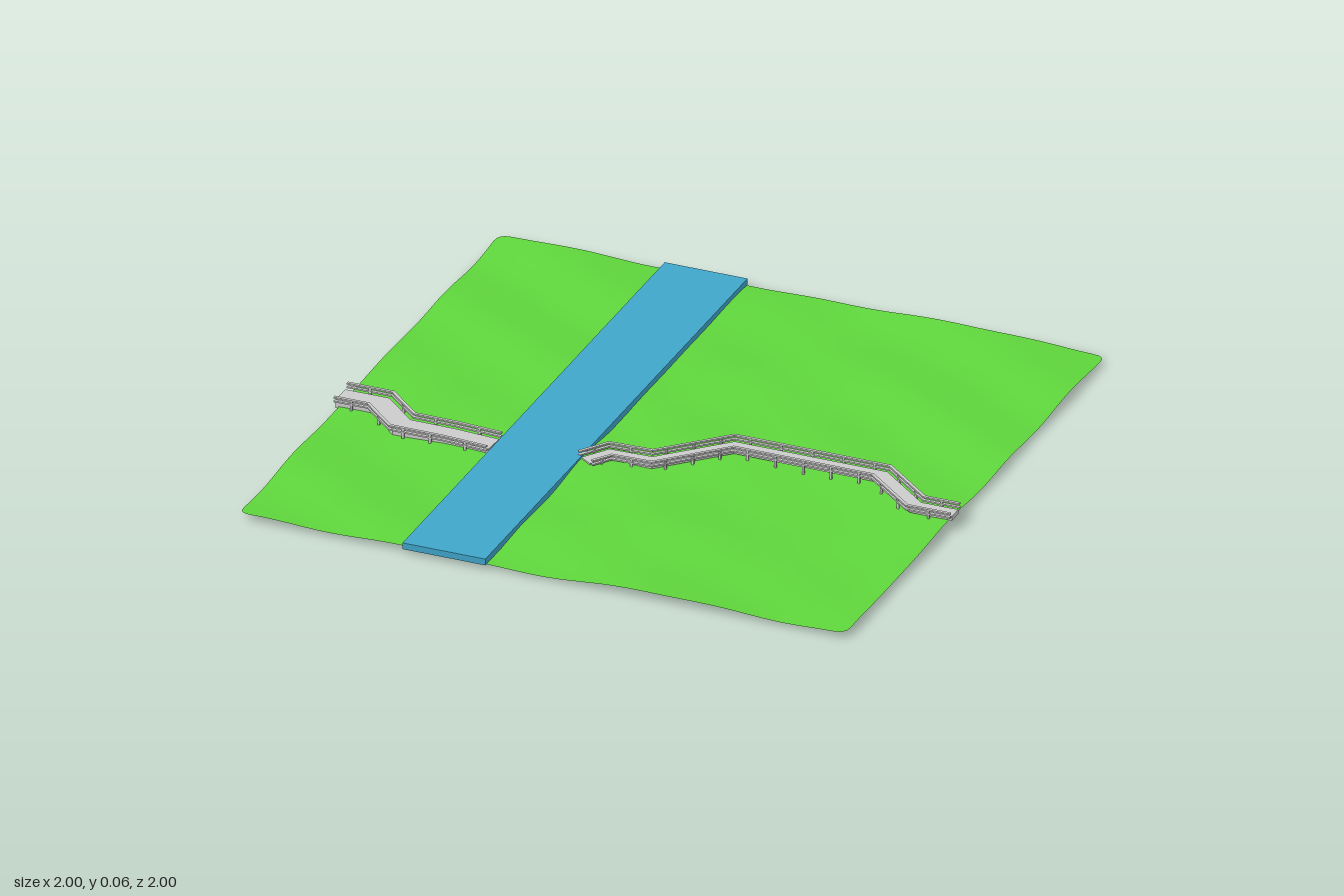
import * as THREE from 'three';

const grey = new THREE.MeshStandardMaterial({ color: 0xcccccc, flatShading: true, side: THREE.DoubleSide });
const green = new THREE.MeshStandardMaterial({ color: 0x5fd63c, side: THREE.DoubleSide });
const blue = new THREE.MeshStandardMaterial({ color: 0x3fa6c9 });

function add(parent, geometry, material, name) {
  const mesh = new THREE.Mesh(geometry, material);
  mesh.name = name;
  parent.add(mesh);
  return mesh;
}

// Gentle rolling height of the meadow
function groundHeight(x, z) {
  const h = Math.sin(5.3 * x + 2.1 * Math.sin(3.1 * z + 0.6)) * 0.35
    + Math.sin(11.7 * z + 1.9 * Math.sin(4.3 * x)) * 0.35
    + Math.sin(9.1 * x - 15.3 * z + 1.2) * 0.2
    + Math.sin(17 * x + 8 * z + 2.4) * 0.15;
  return 0.018 + 0.011 * h;
}

// Thin square sheet with slightly rounded corners
function meadowGeometry() {
  const half = 0.99, r = 0.035, n = 100;
  const g = new THREE.PlaneGeometry(2 * half, 2 * half, n, n).rotateX(-Math.PI / 2);
  const p = g.attributes.position;
  for (let i = 0; i < p.count; i++) {
    let x = p.getX(i), z = p.getZ(i);
    const dx = Math.abs(x) - (half - r), dz = Math.abs(z) - (half - r);
    if (dx > 0 && dz > 0) {
      const k = Math.max(dx, dz) / Math.hypot(dx, dz);
      x = Math.sign(x) * (half - r + dx * k);
      z = Math.sign(z) * (half - r + dz * k);
    }
    p.setXYZ(i, x, groundHeight(x, z), z - 0.005);
  }
  g.computeVertexNormals();
  return g;
}

// Sideways mitre vector at each point of a path of [x, y, z]
function mitres(path) {
  return path.map((p, i) => {
    const dir = (a, b) => new THREE.Vector2(b[0] - a[0], b[2] - a[2]).normalize();
    const before = dir(path[Math.max(i - 1, 0)], path[Math.max(i, 1)]);
    const after = dir(path[Math.min(i, path.length - 2)], path[Math.min(i + 1, path.length - 1)]);
    const t = before.clone().add(after).normalize();
    return new THREE.Vector2(-t.y, t.x).divideScalar(t.dot(after));
  });
}

// Rectangular section swept along a path: s0..s1 sideways, h0..h1 in height
function sweep(path, s0, s1, h0, h1) {
  const side = mitres(path), pos = [], index = [];
  const section = [[s0, h0], [s0, h1], [s1, h1], [s1, h0]];
  path.forEach((p, i) => section.forEach(([s, h]) =>
    pos.push(p[0] + side[i].x * s, p[1] + h, p[2] + side[i].y * s)));
  for (let i = 0; i < path.length - 1; i++) {
    for (let j = 0; j < 4; j++) {
      const a = i * 4 + j, b = i * 4 + (j + 1) % 4;
      index.push(a, b, a + 4, b, b + 4, a + 4);
    }
  }
  const e = (path.length - 1) * 4;
  index.push(0, 2, 1, 0, 3, 2, e, e + 1, e + 2, e, e + 2, e + 3);
  let g = new THREE.BufferGeometry();
  g.setAttribute('position', new THREE.Float32BufferAttribute(pos, 3));
  g.setIndex(index);
  g = g.toNonIndexed();
  g.computeVertexNormals();
  return g;
}

// Walkway with a deck, two-bar railings and posts
function walkway(name, path, deckHalf, deckBottom, railOffsets, postDepth) {
  const group = new THREE.Group();
  group.name = name;
  add(group, sweep(path, -deckHalf, deckHalf, deckBottom, 0), grey, 'deck');
  const side = mitres(path);
  for (const offset of railOffsets) {
    for (const h of [-0.001, 0.011]) {
      add(group, sweep(path, offset - 0.005, offset + 0.005, h, h + 0.005), grey, 'railBar');
    }
    for (let i = 0; i < path.length - 1; i++) {
      const at = k => new THREE.Vector3(path[k][0] + side[k].x * offset, path[k][1], path[k][2] + side[k].y * offset);
      const a = at(i), b = at(i + 1);
      const count = Math.max(1, Math.round(a.distanceTo(b) / 0.1));
      for (let k = 0; k < count; k++) {
        const q = a.clone().lerp(b, (k + 0.5) / count);
        const height = 0.013 + postDepth;
        const post = add(group, new THREE.BoxGeometry(0.007, height, 0.007), grey, 'railPost');
        post.position.set(q.x, q.y + 0.013 - height / 2, q.z);
      }
    }
  }
  return group;
}

export function createModel() {
  const model = new THREE.Group();
  model.name = 'riverLandscape';
  add(model, meadowGeometry(), green, 'meadow');

  // Straight river slab across the meadow
  const river = add(model, new THREE.BoxGeometry(0.27, 0.021, 1.995), blue, 'river');
  river.position.set(-0.315, 0.0245, -0.002);

  // Path on the right bank
  model.add(walkway('rightPath', [
    [-1, 0.039, 0.184], [-0.87, 0.039, 0.184], [-0.76, 0.034, 0.28], [-0.6, 0.033, 0.28], [-0.455, 0.032, 0.289],
  ], 0.036, -0.029, [-0.052, 0.048], 0.02));

  // Path on the left bank
  model.add(walkway('leftPath', [
    [-0.16, 0.033, 0.28], [-0.11, 0.033, 0.207], [0.025, 0.034, 0.204], [0.22, 0.044, 0.034],
    [0.7, 0.043, 0.034], [0.87, 0.041, 0.174], [1, 0.041, 0.174],
  ], 0.024, -0.015, [-0.037, 0.036], 0.033));

  return model;
}
